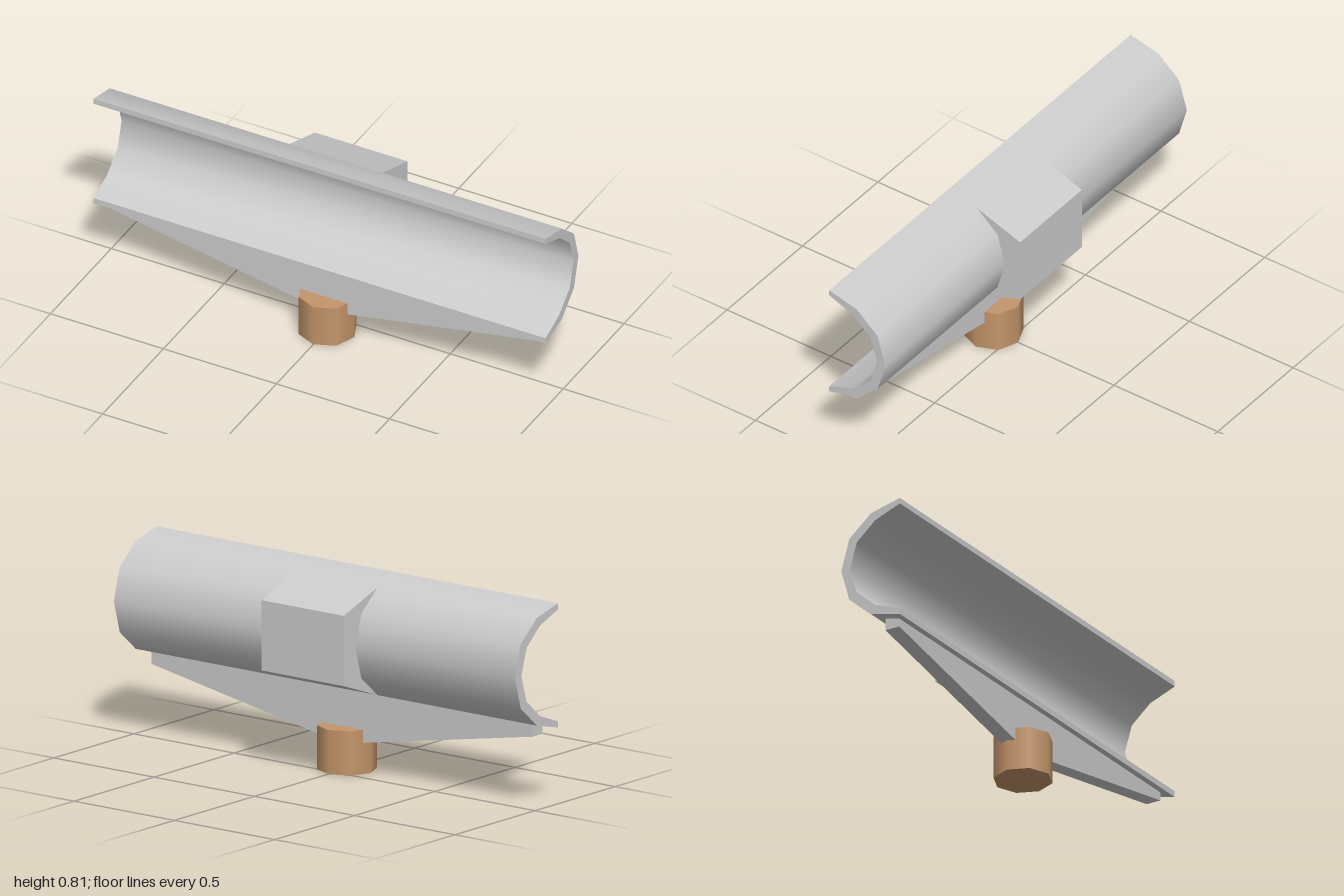
import * as THREE from 'three';
import { toCreasedNormals } from 'three/addons/utils/BufferGeometryUtils.js';

const grey = new THREE.MeshStandardMaterial({ color: 0xcccccc });
const wood = new THREE.MeshStandardMaterial({ color: 0xc4956a });

// Extrudes a 2D outline to the given depth, centred on its own plane
function slab(points, depth) {
  const shape = new THREE.Shape(points.map(([x, y]) => new THREE.Vector2(x, y)));
  return new THREE.ExtrudeGeometry(shape, { depth, bevelEnabled: false }).translate(0, 0, -depth / 2);
}

// Extrudes a [z, y] cross-section along x
function alongX(section, length) {
  const geometry = slab(section.map(([z, y]) => [-z, y]), length).rotateY(Math.PI / 2);
  return toCreasedNormals(geometry, 0.7);
}

export function createModel() {
  const model = new THREE.Group();
  const add = (name, geometry, material = grey) => {
    const mesh = new THREE.Mesh(geometry, material);
    mesh.name = name;
    model.add(mesh);
    return mesh;
  };

  // Half-round trough, open to the front
  const outer = [[0.145, 0.805], [0.012, 0.772], [-0.088, 0.686], [-0.125, 0.556],
    [-0.088, 0.425], [0.012, 0.339], [0.145, 0.306]];
  const inner = [[0.145, 0.331], [0.031, 0.374], [-0.053, 0.448], [-0.085, 0.556],
    [-0.053, 0.663], [0.031, 0.737], [0.145, 0.781]];
  add('trough', alongX([...outer, ...inner], 2));

  // Tapered block hugging the back of the trough
  const block = [...outer.slice(1, 6), [-0.197, 0.415], [-0.197, 0.697]];
  add('backBlock', alongX(block, 0.41));

  // Thin keel under the trough, deepest in the middle
  const keel = slab([[-0.95, 0.28], [-0.11, 0.126], [0.11, 0.126], [0.95, 0.28],
    [0.95, 0.329], [-0.95, 0.329]], 0.064);
  add('keel', keel).position.z = 0.079;

  // Eight-sided peg the keel is set into
  add('peg', new THREE.CylinderGeometry(0.118, 0.118, 0.177, 8), wood).position.set(0, 0.0885, 0.079);

  return model;
}
